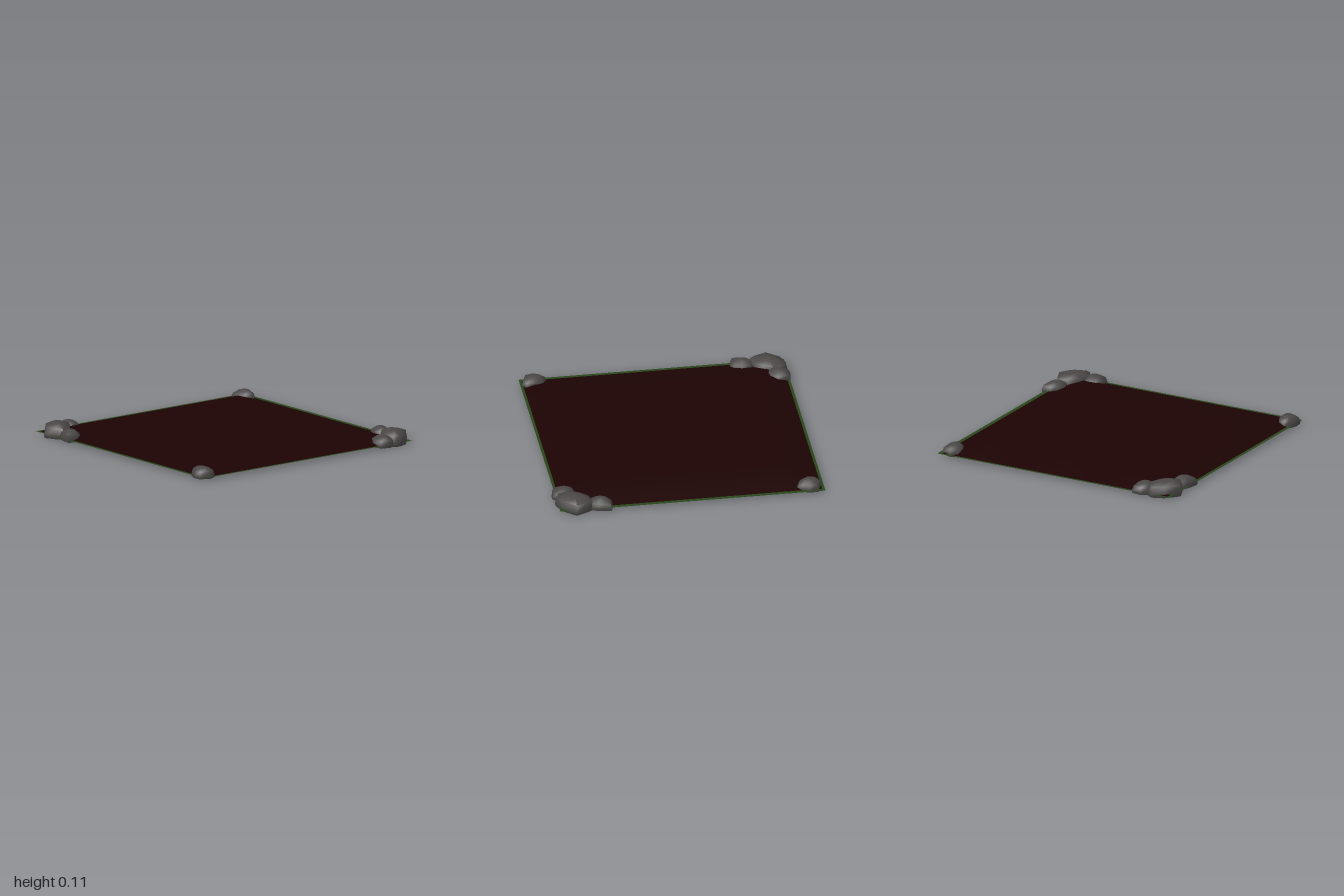
import * as THREE from 'three';
import { toCreasedNormals } from 'three/addons/utils/BufferGeometryUtils.js';

const mat = (name, color) => new THREE.MeshStandardMaterial({ name, color, side: THREE.DoubleSide });

function indexed(positions, indices) {
  const g = new THREE.BufferGeometry();
  g.setAttribute('position', new THREE.Float32BufferAttribute(positions, 3));
  g.setIndex(indices);
  g.computeVertexNormals();
  return g;
}

// Soil sheet: ridges along z with sloping ends; xs alternates valleys and peaks
function soilGeometry(xs, zs, base, top) {
  const cols = xs.length, pos = [], idx = [];
  zs.forEach((z, r) => xs.forEach((x, c) => {
    const peak = c % 2 === 1 && (r === 1 || r === 2);
    pos.push(x, peak ? top : base, z);
  }));
  for (let r = 0; r < zs.length - 1; r++) {
    for (let c = 0; c < cols - 1; c++) {
      const a = r * cols + c, b = a + 1, d = a + cols, e = d + 1;
      // Pick the diagonal that keeps each end a clean hip
      if ((r === 0) === (c % 2 === 0)) idx.push(a, d, e, a, e, b);
      else idx.push(a, d, b, b, d, e);
    }
  }
  return indexed(pos, idx);
}

// Rock shell, open below: an outline (x, z pairs, from +x towards +z)
// lofted through rings of [scale, height] up to a peak
function rockGeometry(outline, rings, peak) {
  const n = outline.length;
  const cx = outline.reduce((s, p) => s + p[0], 0) / n;
  const cz = outline.reduce((s, p) => s + p[1], 0) / n;
  const pos = [], idx = [];
  for (const [scale, y] of rings) {
    for (const [x, z] of outline) pos.push(cx + (x - cx) * scale, y, cz + (z - cz) * scale);
  }
  pos.push(cx, peak, cz);
  const last = (rings.length - 1) * n, top = rings.length * n;
  for (let i = 0; i < n; i++) {
    const j = (i + 1) % n;
    for (let r = 0; r < last; r += n) {
      idx.push(r + i, r + i + n, r + j, r + j, r + i + n, r + j + n);
    }
    idx.push(last + i, top, last + j);
  }
  return toCreasedNormals(indexed(pos, idx), 1.2);
}

const BIG = [[[0.94, 0], [1, 0.018], [0.91, 0.08], [0.45, 0.102]], 0.111];
const SMALL = [[[0.95, 0.008], [1, 0.024], [0.87, 0.06], [0.5, 0.082]], 0.092];

// Outlines of the rocks around the front left corner
const CLUSTER = [
  ['bigRock', BIG, [[1, 0.84], [0.915, 0.94], [0.825, 0.975], [0.785, 0.955], [0.75, 0.86],
    [0.79, 0.79], [0.85, 0.725], [0.93, 0.705], [0.96, 0.75]]],
  ['sideRock', SMALL, [[0.97, 0.67], [0.95, 0.72], [0.89, 0.745], [0.845, 0.72],
    [0.835, 0.65], [0.86, 0.59], [0.91, 0.565], [0.985, 0.58]]],
  ['frontRock', SMALL, [[0.81, 0.89], [0.79, 0.95], [0.74, 0.985], [0.66, 0.97],
    [0.645, 0.88], [0.68, 0.82], [0.73, 0.81], [0.79, 0.83]]],
];
const SINGLE = [[0.945, -0.87], [0.92, -0.81], [0.89, -0.78], [0.83, -0.805],
  [0.8, -0.86], [0.805, -0.94], [0.86, -0.965], [0.94, -0.935]];

export function createModel() {
  const soil = mat('dark soil', 0x1c0303);
  const grass = mat('grass green', 0x29461a);
  const stone = mat('grey stone', 0x494645);
  const model = new THREE.Group();
  model.name = 'gardenPlot';
  const add = (name, geometry, material, parent = model) => {
    const mesh = new THREE.Mesh(geometry, material);
    mesh.name = name;
    parent.add(mesh);
    return mesh;
  };

  // Ploughed earth, a hollow sheet
  const xs = [-0.945, -0.65, -0.33, -0.01, 0.313, 0.634, 0.925];
  const zs = [-0.96, -0.725, 0.71, 0.935];
  add('soilRidges', soilGeometry(xs, zs, 0.024, 0.09), soil);

  // Flat grass border
  const border = new THREE.Shape();
  border.moveTo(-0.97, -0.955).lineTo(0.955, -0.955).lineTo(0.955, 0.98).lineTo(-0.97, 0.98).closePath();
  const hole = new THREE.Path();
  hole.moveTo(-0.945, -0.935).lineTo(-0.945, 0.96).lineTo(0.925, 0.96).lineTo(0.925, -0.935).closePath();
  border.holes.push(hole);
  const edge = new THREE.ShapeGeometry(border).rotateX(-Math.PI / 2);
  add('grassBorder', edge, grass).position.y = 0.024;

  // Opposite corners carry the same rocks turned half round
  for (const turn of [0, 1]) {
    const rocks = new THREE.Group();
    rocks.name = turn ? 'backRightRocks' : 'frontLeftRocks';
    for (const [name, [rings, peak], outline] of CLUSTER) {
      add(name, rockGeometry(outline, rings, peak), stone, rocks);
    }
    rocks.rotation.y = turn * Math.PI;
    rocks.position.z = turn * -0.01;
    model.add(rocks);

    const single = add(turn ? 'frontRightRock' : 'backLeftRock', rockGeometry(SINGLE, ...SMALL), stone);
    single.rotation.y = turn * Math.PI;
    if (turn) single.position.set(-0.035, 0, -0.02);
  }
  return model;
}
